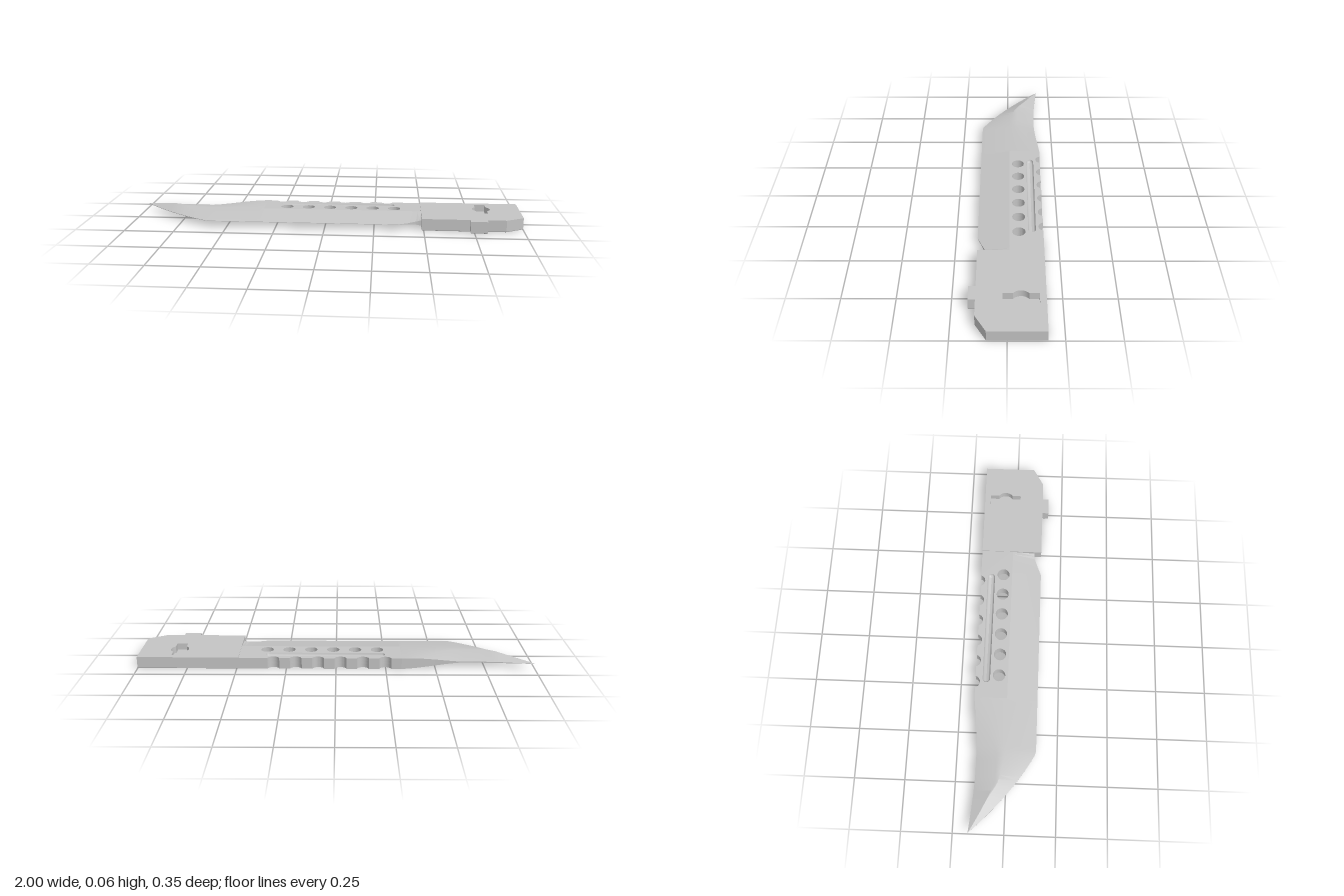
import * as THREE from 'three';
import { toCreasedNormals } from 'three/addons/utils/BufferGeometryUtils.js';

const MID = 0.029, HALF = 0.0285; // blade mid-plane height and half thickness
const SPINE = -0.175, RIDGE = -0.01, EDGE = 0.144;

export function createModel() {
  const group = new THREE.Group();
  const steel = new THREE.MeshStandardMaterial({ color: 0xc4c4c4 });
  steel.name = 'grey steel';

  const add = (name, geometry) => {
    const mesh = new THREE.Mesh(geometry, steel);
    mesh.name = name;
    group.add(mesh);
  };

  // Outlines are [x, z] pairs, extruded upwards from y0 to y1; holes wind the other way
  const toV2 = pts => pts.map(([x, z]) => new THREE.Vector2(x, -z));
  const slab = (outline, holes, y0, y1, bevel = 0) => {
    const shape = new THREE.Shape(toV2(outline));
    holes.forEach(h => shape.holes.push(new THREE.Path(toV2(h).reverse())));
    const g = new THREE.ExtrudeGeometry(shape, {
      depth: y1 - y0 - 2 * bevel, bevelEnabled: bevel > 0,
      bevelSize: bevel, bevelThickness: bevel, bevelOffset: -bevel, bevelSegments: 2,
    });
    g.rotateX(-Math.PI / 2).translate(0, y0 + bevel, 0);
    return toCreasedNormals(g, 0.35);
  };
  const arc = (cx, cz, r, a0, a1, n) => Array.from({ length: n + 1 }, (_, i) => {
    const a = a0 + (a1 - a0) * i / n;
    return [cx + r * Math.cos(a), cz + r * Math.sin(a)];
  });

  // Skin a list of closed cross-sections; each point is [x, y, z]
  const loft = (sections, crease) => {
    const pos = [];
    const n = sections[0].length;
    for (let i = 0; i < sections.length - 1; i++) {
      for (let j = 0; j < n; j++) {
        const k = (j + 1) % n;
        const a = sections[i][j], b = sections[i][k], c = sections[i + 1][k], d = sections[i + 1][j];
        pos.push(...a, ...b, ...d, ...b, ...c, ...d);
      }
    }
    const g = new THREE.BufferGeometry();
    g.setAttribute('position', new THREE.Float32BufferAttribute(pos, 3));
    return toCreasedNormals(g, crease);
  };
  const bladeSection = (x, s, hs, f, h, b, e, he) => {
    const top = [[s, hs], [f, h], [b, h], [e, he]];
    const low = top.map(([z, t]) => [z, -t]).reverse();
    return [...top, ...low].map(([z, t]) => [x, MID + t, z]);
  };

  // Blade point: dipped spine, swept cutting edge, thickness tapering to the tip
  const point = [];
  for (let i = 0; i <= 36; i++) {
    const u = i / 36, x = -1 + 0.67 * u;
    const s = SPINE + 0.024 * Math.sin(Math.PI * u);
    const v = Math.max(0, (-0.6 - x) / 0.4);
    const e = EDGE + (SPINE - EDGE) * v + 0.108 * v * (1 - v);
    const h = HALF * Math.min(1, (x + 1) / 0.18);
    const f = s + Math.min(0.1, 0.5 * (e - s)) * Math.min(1, (1 - u) * 2.5);
    const w = THREE.MathUtils.smoothstep(x, -0.86, -0.58);
    const b = f + (RIDGE - f) * w;
    const hs = h * Math.max(0.1, THREE.MathUtils.smoothstep(x, -0.7, -0.33));
    point.push(bladeSection(x, s, hs, f, h, b, e, Math.min(h, 0.001)));
  }
  add('bladePoint', loft(point, 0.3));

  // Ground bevel, easing to a thicker edge next to the handle
  const bevel = [[-0.33, EDGE, 0.001], [0.37, EDGE, 0.001], [0.42, 0.124, 0.003],
    [0.46, 0.108, 0.008], [0.475, 0.106, 0.011], [0.495, 0.106, 0.016]]
    .map(([x, e, t]) => bladeSection(x, RIDGE, HALF, RIDGE, HALF, RIDGE, e, t));
  add('bladeBevel', loft(bevel, 0.1));

  // Flat back of the blade with scalloped spine, round holes and a groove on each face
  const back = [[-0.33, RIDGE], [-0.33, SPINE]];
  const holes = [];
  for (let i = 0; i < 6; i++) {
    const x = -0.248 + 0.1125 * i;
    back.push(...arc(x, SPINE - 0.008, 0.031, Math.PI - 0.26, 0.26, 10));
    holes.push(arc(-0.21 + 0.1125 * i, -0.056, 0.032, 0, Math.PI * 2, 28).slice(0, -1));
  }
  back.push([0.495, SPINE], [0.495, RIDGE]);

  const G = { x0: -0.23, x1: 0.337, z: -0.12, r: 0.019 };
  const grooveRing = r => [
    ...arc(G.x1, G.z, r, -Math.PI / 2, Math.PI / 2, 10),
    ...arc(G.x0, G.z, r, Math.PI / 2, Math.PI * 1.5, 10),
  ];
  const groove = grooveRing(G.r);
  add('bladeCore', slab(back, holes, MID - 0.009, MID + 0.009));
  add('bladeUpperFace', slab(back, [...holes, groove], MID + 0.009, MID + HALF));
  add('bladeLowerFace', slab(back, [...holes, groove], MID - HALF, MID - 0.009));

  // Rounded groove floors
  for (const side of [1, -1]) {
    const rings = [1, 0.92, 0.75, 0.5, 0.25, 0.001].map(k => {
      const y = MID + side * (HALF - 0.017 * Math.sqrt(1 - k * k));
      const ring = grooveRing(G.r * k).map(([x, z]) => [x, y, z]);
      return side > 0 ? ring.reverse() : ring;
    });
    add(side > 0 ? 'upperGroove' : 'lowerGroove', loft(rings, 0.7));
  }

  // Handle block with clipped corner, side tab and softened underside
  const handle = [[0.49, SPINE], [1, SPINE], [1, 0.09], [0.91, 0.142], [0.815, 0.142],
    [0.815, 0.175], [0.73, 0.175], [0.73, 0.142], [0.49, 0.142]];
  // Keyhole recess: a slot crossed by a round opening
  const cx = 0.803, cz = -0.062, hw = 0.028, r = 0.046;
  const a = Math.acos(hw / r);
  const keyhole = [
    [cx + hw, -0.145], ...arc(cx, cz, r, -a, a, 10), [cx + hw, 0.02],
    [cx - hw, 0.02], ...arc(cx, cz, r, Math.PI - a, Math.PI + a, 10), [cx - hw, -0.145],
  ];
  add('handleBase', slab(handle, [], 0, 0.025, 0.004));
  add('handleBody', slab(handle, [keyhole], 0.021, 0.061));

  return group;
}
